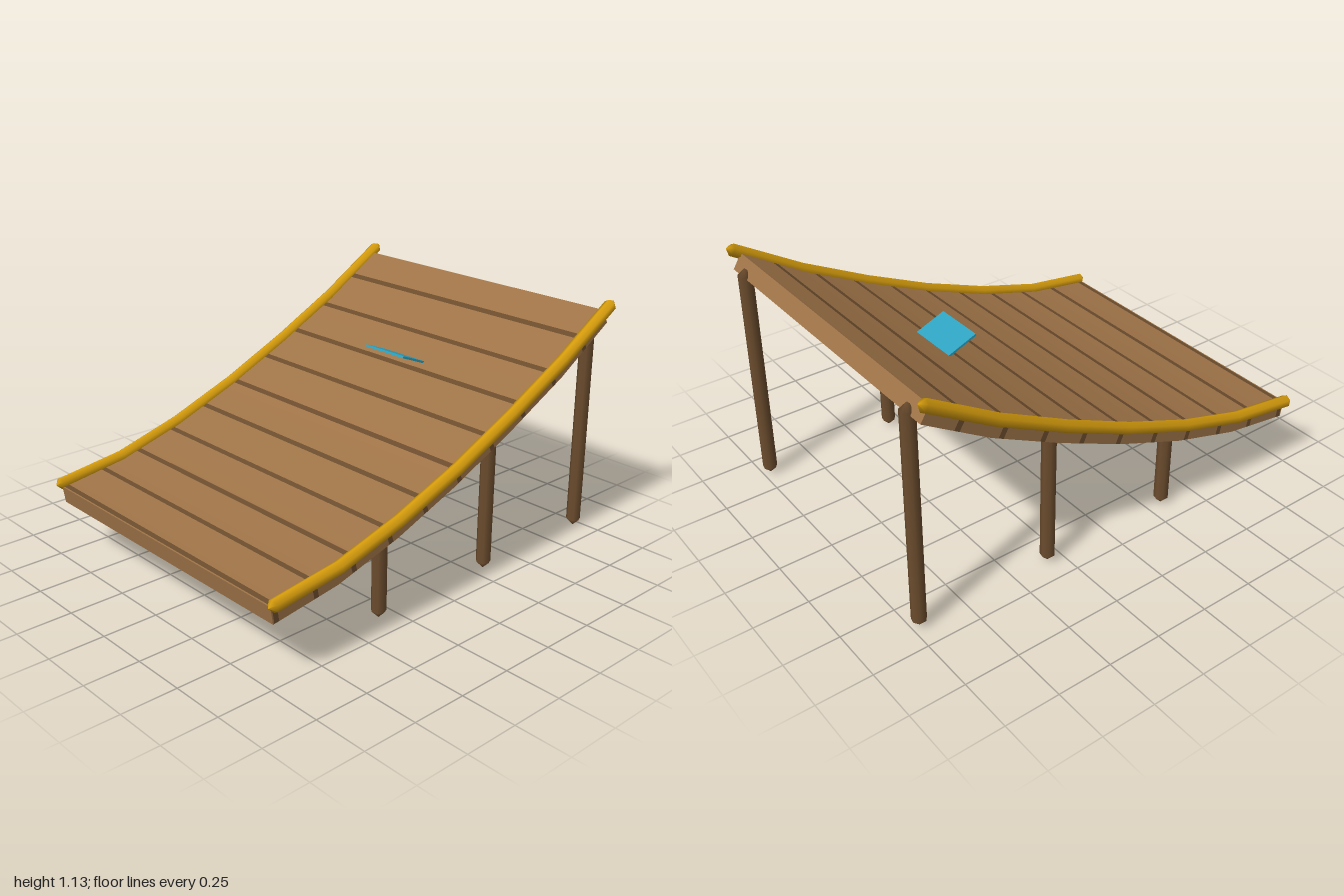
import * as THREE from 'three';

const mat = (name, color) => new THREE.MeshStandardMaterial({ name, color });

// Centre line of the sloping deck, front to back: [z, y]
const KNOTS = [
  [0.972, 0.295], [0.65, 0.341], [0.33, 0.432], [0, 0.558],
  [-0.325, 0.705], [-0.65, 0.869], [-0.95, 1.055],
];
const HALF_WIDTH = 0.725, HALF_THICK = 0.039;

// Upward unit normal (z, y) at point i of a [z, y] path, averaged from its neighbours
function pathNormal(path, i) {
  const a = path[Math.max(i - 1, 0)], b = path[Math.min(i + 1, path.length - 1)];
  return new THREE.Vector2(b[1] - a[1], a[0] - b[0]).normalize();
}

// Top and bottom points and normal of the deck at a centre-line z
function section(z) {
  let i = 0;
  while (i < KNOTS.length - 2 && z < KNOTS[i + 1][0]) i++;
  const t = (KNOTS[i][0] - z) / (KNOTS[i][0] - KNOTS[i + 1][0]);
  const y = THREE.MathUtils.lerp(KNOTS[i][1], KNOTS[i + 1][1], t);
  const n = pathNormal(KNOTS, i).lerp(pathNormal(KNOTS, i + 1), t).normalize();
  const dy = n.y * HALF_THICK, dz = n.x * HALF_THICK;
  return { top: [y + dy, z + dz], bottom: [y - dy, z - dz], up: [0, n.y, n.x], down: [0, -n.y, -n.x] };
}

// Slab between consecutive stations, smooth along its length; end faces only where asked
function slab(stations, capFront, capBack) {
  const pos = [], nor = [];
  const quad = (a, b, c, d, n0, n1) => {
    pos.push(...a, ...b, ...c, ...a, ...c, ...d);
    nor.push(...n0, ...n0, ...n1, ...n0, ...n1, ...n1);
  };
  const L = (p) => [-HALF_WIDTH, ...p], R = (p) => [HALF_WIDTH, ...p];
  const s = stations.map(section);
  for (let i = 0; i < s.length - 1; i++) {
    const f = s[i], b = s[i + 1];
    quad(L(f.top), R(f.top), R(b.top), L(b.top), f.up, b.up);
    quad(L(b.bottom), R(b.bottom), R(f.bottom), L(f.bottom), b.down, f.down);
    quad(R(f.bottom), R(b.bottom), R(b.top), R(f.top), [1, 0, 0], [1, 0, 0]);
    quad(L(b.bottom), L(f.bottom), L(f.top), L(b.top), [-1, 0, 0], [-1, 0, 0]);
  }
  const f = s[0], b = s[s.length - 1];
  const fn = [0, -f.up[2], f.up[1]], bn = [0, b.up[2], -b.up[1]];
  if (capFront) quad(L(f.bottom), R(f.bottom), R(f.top), L(f.top), fn, fn);
  if (capBack) quad(R(b.bottom), L(b.bottom), L(b.top), R(b.top), bn, bn);
  const g = new THREE.BufferGeometry();
  g.setAttribute('position', new THREE.Float32BufferAttribute(pos, 3));
  g.setAttribute('normal', new THREE.Float32BufferAttribute(nor, 3));
  return g;
}

// Six-sided bar along [z, y, radius] stations, with a ridge on top
function bar(stations) {
  const pos = [], index = [], sides = 6;
  stations.forEach(([z, y, r], i) => {
    const n = pathNormal(stations, i);
    for (let j = 0; j < sides; j++) {
      const t = ((j + 0.5) / sides) * Math.PI * 2, u = Math.sin(t) * r;
      pos.push(Math.cos(t) * r, y + n.y * u, z + n.x * u);
      if (i === stations.length - 1) continue;
      const p = i * sides + j, q = i * sides + (j + 1) % sides;
      index.push(p, p + sides, q, q, p + sides, q + sides);
    }
  });
  const g = new THREE.BufferGeometry();
  g.setAttribute('position', new THREE.Float32BufferAttribute(pos, 3));
  g.setIndex(index);
  g.computeVertexNormals();
  return g;
}

export function createModel() {
  const wood = mat('plankWood', 0x9e7347);
  const darkWood = mat('darkWood', 0x6b4c2d);
  const yellow = mat('railYellow', 0xd49b0c);
  const blue = mat('panelBlue', 0x2ea2c0);
  const model = new THREE.Group();
  model.name = 'ramp';
  const add = (name, geometry, material, parent = model) => {
    const mesh = new THREE.Mesh(geometry, material);
    mesh.name = name;
    parent.add(mesh);
    return mesh;
  };

  // Deck: planks alternating with narrow dark seams
  const deck = new THREE.Group();
  deck.name = 'deck';
  model.add(deck);
  const front = KNOTS[0][0], back = KNOTS[KNOTS.length - 1][0], half = 0.0115;
  const span = (a, b) => [a, ...KNOTS.map((k) => k[0]).filter((z) => z < a - 1e-4 && z > b + 1e-4), b];
  let start = front;
  for (let i = 0; i < 10; i++) {
    const z = 0.954 - 0.1948 * i;
    add('plank', slab(span(start, z + half), i === 0, false), wood, deck);
    add('seam', slab(span(z + half, z - half), false, false), darkWood, deck);
    start = z - half;
  }
  add('plank', slab(span(start, back), false, true), wood, deck);

  // Side rails with pointed ends
  const r = 0.029;
  const rail = [
    [1.0, 0.342, 0.0005], [0.975, 0.343, r], [0.65, 0.387, r], [0.33, 0.478, r], [0, 0.603, r],
    [-0.325, 0.751, r], [-0.65, 0.917, r], [-0.963, 1.107, r], [-0.987, 1.121, 0.0005],
  ];
  for (const side of [1, -1]) {
    add(side > 0 ? 'leftRail' : 'rightRail', bar(rail), yellow).position.x = side * 0.739;
  }

  // Seven-sided posts with pointed ends: [z, top]
  for (const [z, top] of [[0.33, 0.43], [-0.317, 0.69], [-0.963, 1.065]]) {
    for (const x of [-0.63, 0.63]) {
      const post = add('post', new THREE.CapsuleGeometry(0.033, top - 0.066, 1, 7), darkWood);
      post.position.set(x, top / 2, z);
      post.rotation.y = Math.PI;
    }
  }

  // Tilted panel crossing the deck
  const panel = add('panel', new THREE.BoxGeometry(0.24, 0.0098, 0.376), blue);
  panel.position.set(0, 0.79, -0.48);
  panel.rotation.x = -Math.atan2(0.14, 0.35);
  return model;
}
